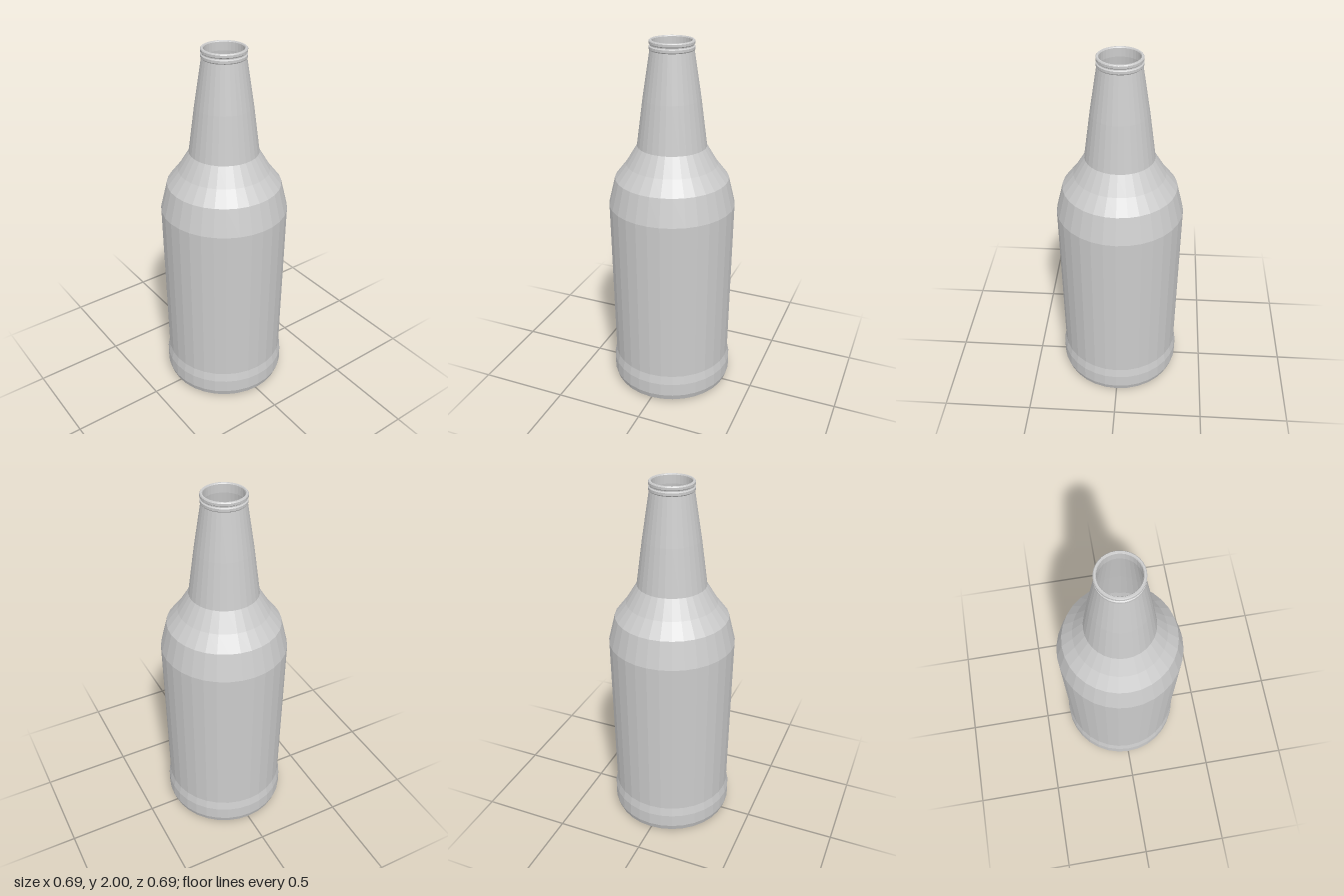
import * as THREE from 'three';

const SIDES = 32;

export function createModel() {
  const model = new THREE.Group();
  model.name = 'bottle';
  const glass = new THREE.MeshStandardMaterial({
    color: 0xcccccc, flatShading: true, side: THREE.DoubleSide,
  });

  // Turns a profile of [radius, height] pairs around the y axis
  const turn = (name, profile) => {
    const points = profile.map(([r, y]) => new THREE.Vector2(r, y));
    const mesh = new THREE.Mesh(new THREE.LatheGeometry(points, SIDES), glass);
    mesh.name = name;
    model.add(mesh);
  };

  // Hollowed underside with a raised centre
  turn('base', [[0, 0.045], [0.105, 0.045], [0.25, 0.012], [0.29, 0], [0.315, 0.005]]);

  // Thick heel band, then the slightly flaring label panel
  turn('body', [
    [0.315, 0.005], [0.332, 0.015], [0.344, 0.05], [0.344, 0.125], [0.334, 0.175], [0.346, 1.115],
  ]);

  // Faceted shoulder
  turn('shoulder', [[0.346, 1.115], [0.309, 1.265], [0.247, 1.345], [0.187, 1.445]]);

  // Tapered neck
  turn('neck', [[0.187, 1.445], [0.153, 1.7], [0.114, 1.95]]);

  // Lip with two beads and an open mouth
  turn('lip', [
    [0.114, 1.95], [0.118, 1.955], [0.118, 1.968], [0.112, 1.973],
    [0.112, 1.978], [0.118, 1.983], [0.118, 1.995], [0.114, 2], [0.106, 2], [0.103, 1.995],
  ]);

  // Inner wall from the mouth down to the floor
  turn('innerWall', [
    [0.103, 1.995], [0.103, 1.95], [0.14, 1.7], [0.173, 1.45], [0.233, 1.35],
    [0.294, 1.26], [0.33, 1.11], [0.318, 0.175], [0.315, 0.08], [0.25, 0.06], [0, 0.06],
  ]);

  return model;
}
